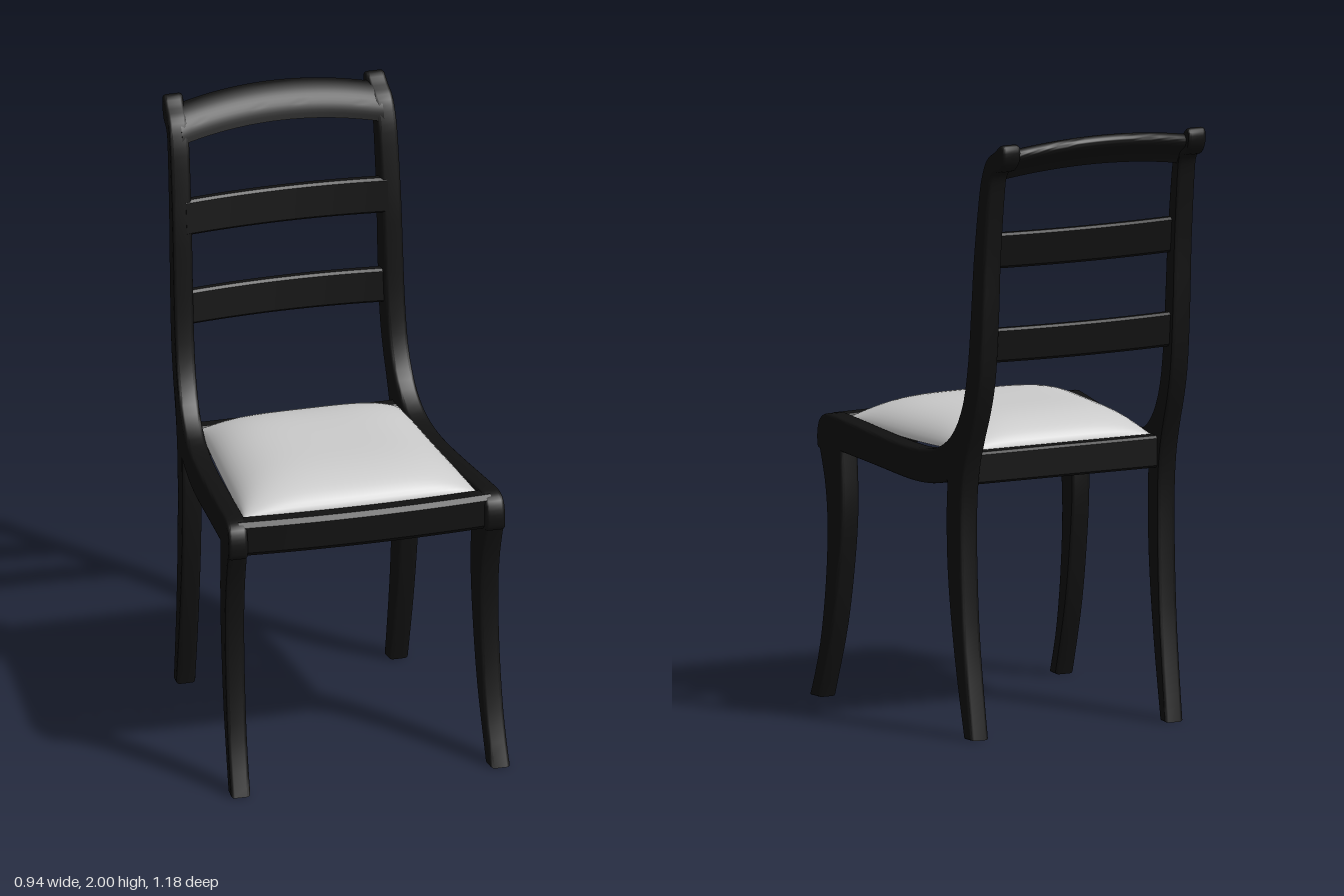
import * as THREE from 'three';
import { toCreasedNormals } from 'three/addons/utils/BufferGeometryUtils.js';

const wood = new THREE.MeshStandardMaterial({ color: 0x111111 });
const fabric = new THREE.MeshStandardMaterial({ color: 0xcccccc, side: THREE.DoubleSide });

// Closed (z, y) outline made of smooth runs that meet at sharp corners
function outline(runs) {
  const shape = new THREE.Shape();
  shape.moveTo(...runs[0][0]);
  for (const run of runs) {
    const points = run.slice(1).map(([z, y]) => new THREE.Vector2(z, y));
    if (points.length === 1) shape.lineTo(points[0].x, points[0].y);
    else shape.splineThru(points);
  }
  return shape;
}

// Extrude a (z, y) outline along x, centred on x = 0, then move its vertices by a rule
function extrudeAcross(shape, width, options, rule) {
  const bevel = options.bevelEnabled ? options.bevelThickness : 0;
  const geo = new THREE.ExtrudeGeometry(shape, { depth: width - 2 * bevel, ...options });
  geo.translate(0, 0, bevel - width / 2);
  geo.rotateY(-Math.PI / 2);
  const p = geo.attributes.position;
  const v = new THREE.Vector3();
  for (let i = 0; i < p.count; i++) {
    rule(v.fromBufferAttribute(p, i));
    p.setXYZ(i, v.x, v.y, v.z);
  }
  return toCreasedNormals(geo, 0.6);
}

// Front leg, seat rail, back leg and scrolled post in one silhouette
const sideRuns = [
  [[0.59, 0], [0.535, 0.16], [0.5, 0.35], [0.485, 0.55], [0.497, 0.7], [0.53, 0.82]],
  [[0.53, 0.82], [0.545, 0.83], [0.547, 0.88], [0.53, 0.925], [0.485, 0.944], [0.4, 0.94], [0.2, 0.925],
    [0.02, 0.915], [-0.1, 0.92], [-0.2, 0.947], [-0.28, 1.01], [-0.335, 1.11], [-0.365, 1.25],
    [-0.383, 1.42], [-0.4, 1.6], [-0.43, 1.8], [-0.45, 1.88], [-0.478, 1.935], [-0.525, 1.967],
    [-0.56, 1.992], [-0.583, 1.982], [-0.582, 1.94], [-0.555, 1.905], [-0.51, 1.885], [-0.492, 1.82],
    [-0.468, 1.6], [-0.457, 1.4], [-0.438, 1.2], [-0.408, 1.08], [-0.37, 0.98], [-0.34, 0.88],
    [-0.325, 0.75], [-0.327, 0.55], [-0.345, 0.3], [-0.39, 0]],
  [[-0.39, 0], [-0.342, 0]],
  [[-0.342, 0], [-0.285, 0.25], [-0.245, 0.5], [-0.234, 0.7], [-0.24, 0.835]],
  [[-0.24, 0.835], [-0.15, 0.813], [-0.02, 0.805], [0.2, 0.818], [0.4, 0.83]],
  [[0.4, 0.83], [0.392, 0.65], [0.41, 0.47], [0.455, 0.24], [0.535, 0]],
];

function sideFrame(sign) {
  const options = {
    curveSegments: 3, bevelEnabled: true, bevelThickness: 0.012,
    bevelSize: 0.01, bevelOffset: -0.01, bevelSegments: 3,
  };
  // The frames spread apart towards the front
  return extrudeAcross(outline(sideRuns), 0.066, options, (v) => {
    v.x += sign * (0.388 + 0.085 * v.z);
    v.y = Math.max(v.y, 0);
  });
}

// Cross bar whose middle is shifted by bowZ and bowY
function crossBar(shape, halfWidth, bowZ, bowY = 0) {
  const options = { curveSegments: 4, steps: 20, bevelEnabled: false };
  return extrudeAcross(shape, halfWidth * 2, options, (v) => {
    const bow = 1 - (v.x / halfWidth) ** 2;
    v.z += bowZ * bow;
    v.y += bowY * bow;
  });
}

// Rectangle with clipped corners, leaning back by lean at its top
function barSection(z0, z1, y0, y1, lean = 0, c = 0.008) {
  const corners = [[z0 + c, y0], [z1 - c, y0], [z1, y0 + c], [z1 - lean, y1 - c],
    [z1 - c - lean, y1], [z0 + c - lean, y1], [z0 - lean, y1 - c], [z0, y0 + c]];
  return new THREE.Shape(corners.map(([z, y]) => new THREE.Vector2(z, y)));
}

// Domed pad: wider at the front, following the dip of the side rails
function cushionGeometry() {
  const n = 32;
  const geo = new THREE.PlaneGeometry(2, 2, n, n).rotateX(-Math.PI / 2);
  const p = geo.attributes.position;
  for (let i = 0; i < p.count; i++) {
    // Crowd the grid towards the rim, where the curve is tight
    const u = Math.sin(p.getX(i) * Math.PI / 2);
    const w = Math.sin(p.getZ(i) * Math.PI / 2);
    const t = (w + 1) / 2;
    const dome = Math.pow(Math.max(0, (1 - u ** 4) * (1 - w ** 4)), 0.6);
    const base = 0.932 - 0.015 * (1 - w * w);
    const z = -0.265 + 0.727 * t + 0.013 * t * (1 - u * u);
    p.setXYZ(i, u * (0.335 + 0.057 * t), base + (1.022 - base) * dome, z);
  }
  geo.computeVertexNormals();
  return geo;
}

export function createModel() {
  const group = new THREE.Group();
  const add = (name, geometry, material = wood) => {
    const mesh = new THREE.Mesh(geometry, material);
    mesh.name = name;
    group.add(mesh);
  };

  add('leftSideFrame', sideFrame(1));
  add('rightSideFrame', sideFrame(-1));

  // Seat rails
  add('frontRail', crossBar(barSection(0.455, 0.527, 0.822, 0.94, 0, 0.015), 0.425, 0.018));
  add('rearRail', crossBar(barSection(-0.32, -0.268, 0.83, 0.935), 0.355, 0));

  // Back slats
  add('lowerSlat', crossBar(barSection(-0.42, -0.385, 1.248, 1.362, 0.01), 0.345, -0.023));
  add('upperSlat', crossBar(barSection(-0.43, -0.395, 1.56, 1.678, 0.012), 0.34, -0.023));

  // Crest rail, rolled back at the top and arched
  const crest = outline([
    [[-0.445, 1.863], [-0.458, 1.905], [-0.49, 1.943], [-0.535, 1.965], [-0.558, 1.95],
      [-0.55, 1.925], [-0.51, 1.9], [-0.482, 1.86]],
    [[-0.482, 1.86], [-0.445, 1.863]],
  ]);
  add('crestRail', crossBar(crest, 0.34, -0.032, 0.033));

  add('seatCushion', cushionGeometry(), fabric);
  return group;
}
